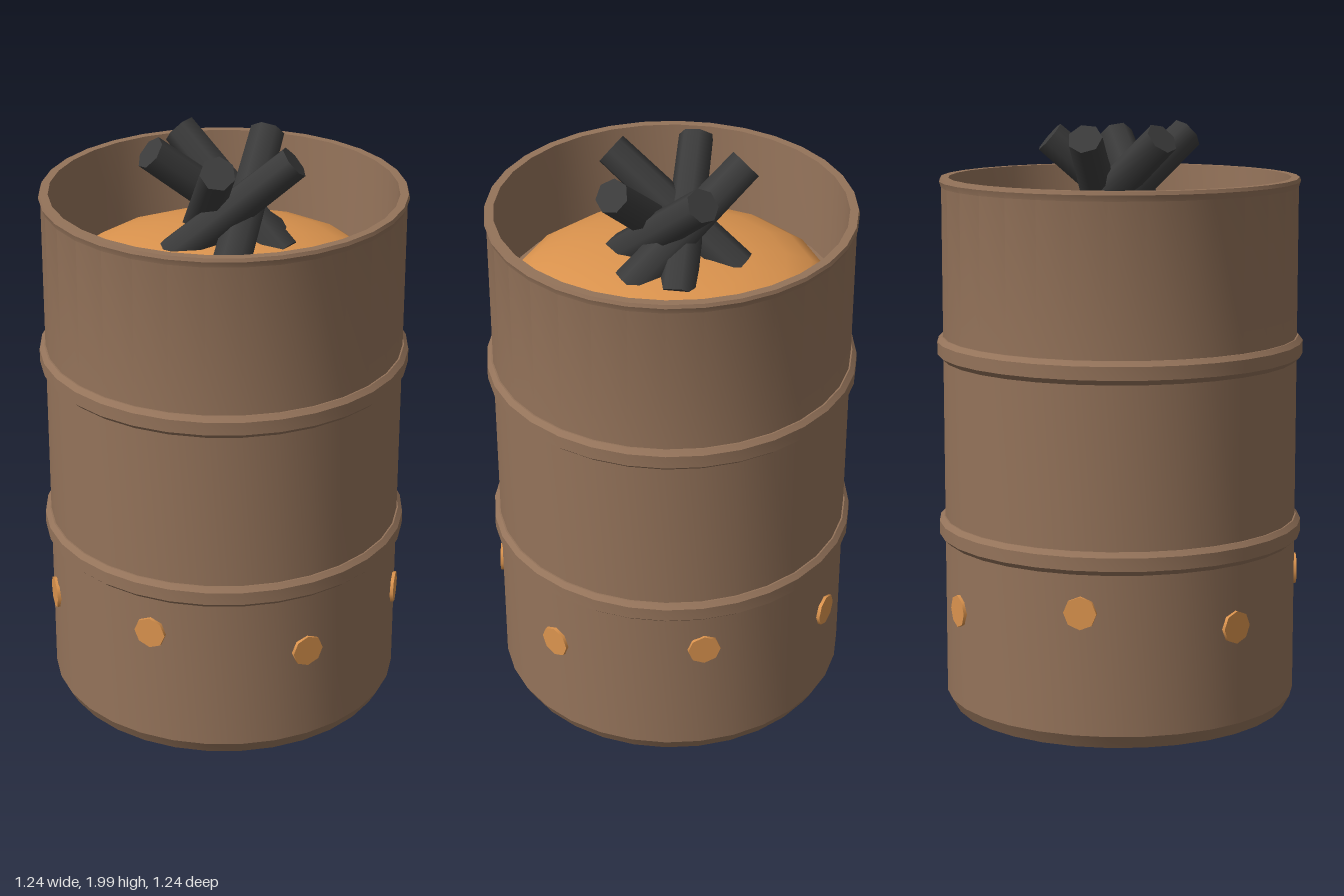
import * as THREE from 'three';
import { toCreasedNormals } from 'three/addons/utils/BufferGeometryUtils.js';

const material = (name, color) => {
  const m = new THREE.MeshStandardMaterial({ color });
  m.name = name;
  return m;
};

export function createModel() {
  const model = new THREE.Group();
  model.name = 'burningBarrel';
  const rust = material('rusty brown', 0x94735a);
  const ember = material('ember orange', 0xdc944e);
  const charcoal = material('charcoal', 0x3b3b3b);

  const add = (name, geometry, mat) => {
    const mesh = new THREE.Mesh(geometry, mat);
    mesh.name = name;
    model.add(mesh);
    return mesh;
  };

  // Barrel shell: base, two raised hoops, rim, inner wall and inner floor
  const hoop = (y) => [[0.6, y - 0.04], [0.62, y - 0.022], [0.62, y + 0.022], [0.605, y + 0.038], [0.6, y + 0.038]];
  const profile = [
    [0, 0], [0.575, 0], [0.6, 0.045],
    ...hoop(0.623), ...hoop(1.241),
    [0.6, 1.78], [0.607, 1.8], [0.603, 1.812], [0.575, 1.812],
    [0.56, 1.49], [0, 1.49],
  ].map(([r, y]) => new THREE.Vector2(r, y));
  add('barrel', toCreasedNormals(new THREE.LatheGeometry(profile, 32), 0.35), rust);

  // Glowing ember bed, a flattened dome
  const bed = new THREE.SphereGeometry(0.54, 16, 6, 0, Math.PI * 2, 0, Math.PI / 2);
  bed.scale(1, 0.16 / 0.54, 1);
  add('emberBed', bed, ember).position.y = 1.49;

  // Glowing vent holes around the lower barrel, alternating in height
  const vent = new THREE.CylinderGeometry(0.055, 0.055, 0.02, 8).rotateX(Math.PI / 2);
  for (let i = 0; i < 7; i++) {
    const a = 0.6 + (i * Math.PI * 2) / 7;
    const mesh = add('ventHole', vent, ember);
    mesh.position.set(Math.cos(a) * 0.598, 0.377 + (i % 2) * 0.08, Math.sin(a) * 0.598);
    mesh.rotation.y = Math.PI / 2 - a;
  }

  // Charred sticks crossing each other: tip, then foot buried in the embers
  const sticks = [
    [[-0.22, 1.95, -0.1], [0.19, 1.6, -0.05]],
    [[0.035, 1.94, -0.24], [0.1, 1.6, 0.15]],
    [[0.24, 1.935, -0.03], [-0.12, 1.6, 0.13]],
    [[0.095, 1.95, 0.22], [-0.17, 1.6, -0.14]],
    [[-0.19, 1.95, 0.15], [0.09, 1.6, -0.18]],
  ];
  for (const [t, f] of sticks) {
    const tip = new THREE.Vector3(...t);
    const foot = new THREE.Vector3(...f);
    const axis = tip.clone().sub(foot);
    const mesh = add('charredStick', new THREE.CylinderGeometry(0.058, 0.064, axis.length(), 7), charcoal);
    mesh.position.addVectors(tip, foot).multiplyScalar(0.5);
    mesh.quaternion.setFromUnitVectors(new THREE.Vector3(0, 1, 0), axis.normalize());
  }
  return model;
}
